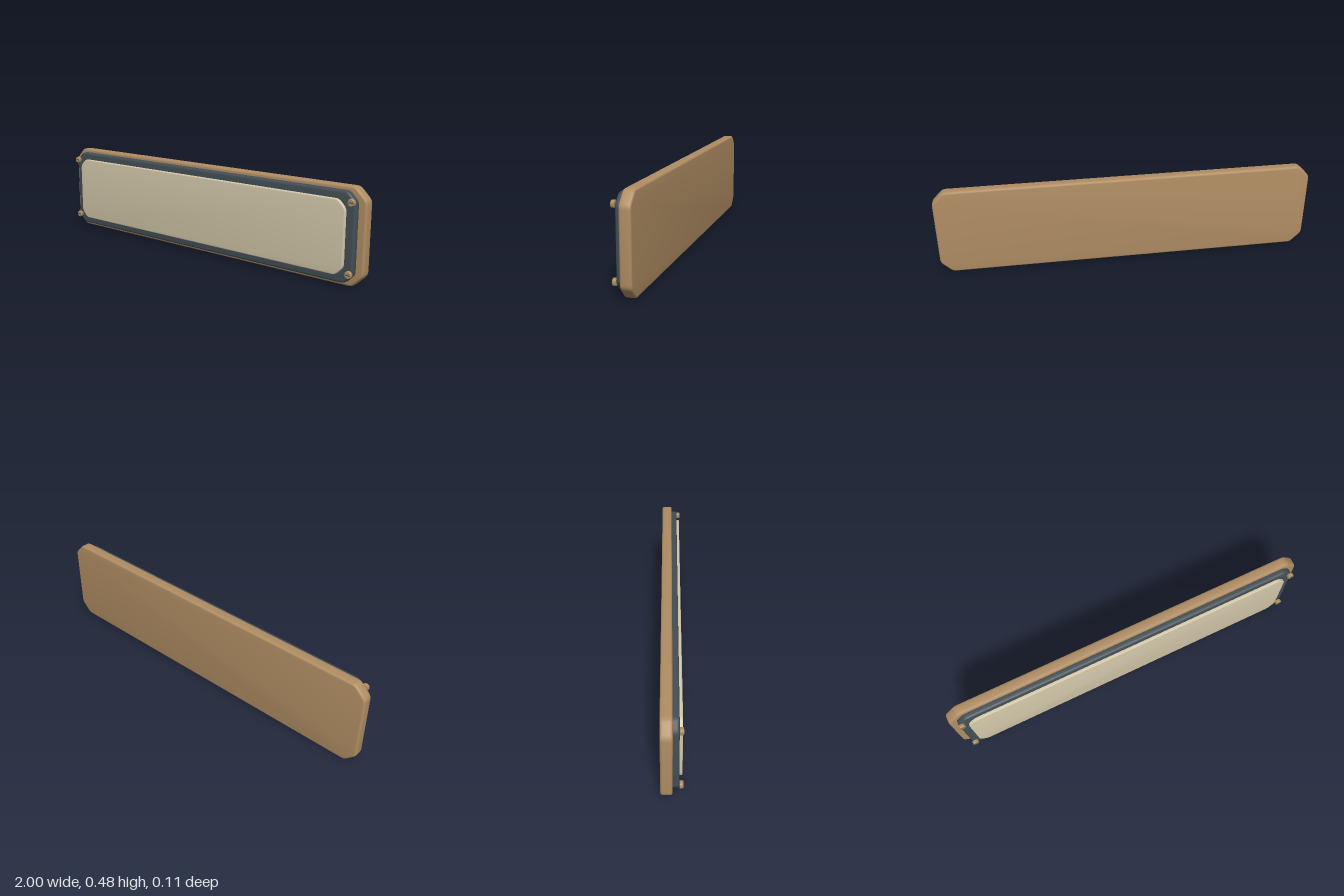
import * as THREE from 'three';
import { toCreasedNormals } from 'three/addons/utils/BufferGeometryUtils.js';

const MID_Y = 0.238;

// Rectangle with softened diagonal corners
function cutRectangle(hw, hh, cut, soft) {
  const s = new THREE.Shape();
  const pts = [
    [hw - cut, -hh], [hw, -hh + cut], [hw, hh - cut], [hw - cut, hh],
    [-hw + cut, hh], [-hw, hh - cut], [-hw, -hh + cut], [-hw + cut, -hh],
  ].map(([x, y]) => new THREE.Vector2(x, y));
  pts.forEach((p, i) => {
    const prev = pts[(i + 7) % 8], next = pts[(i + 1) % 8];
    const a = p.clone().add(prev.clone().sub(p).setLength(soft));
    const b = p.clone().add(next.clone().sub(p).setLength(soft));
    if (i === 0) s.moveTo(a.x, a.y);
    else s.lineTo(a.x, a.y);
    s.quadraticCurveTo(p.x, p.y, b.x, b.y);
  });
  s.closePath();
  return s;
}

// Upright plate with rounded rims, from z0 to z1
function plate(name, hw, hh, cut, z0, z1, bevel, material) {
  const geo = new THREE.ExtrudeGeometry(cutRectangle(hw, hh, cut, 0.018), {
    depth: z1 - z0 - 2 * bevel, curveSegments: 4,
    bevelEnabled: true, bevelThickness: bevel, bevelSize: bevel,
    bevelOffset: -bevel, bevelSegments: 4,
  });
  const mesh = new THREE.Mesh(toCreasedNormals(geo, 0.5), material);
  mesh.position.set(0, MID_Y, z0 + bevel);
  mesh.name = name;
  return mesh;
}

export function createModel() {
  const bronze = new THREE.MeshStandardMaterial({ color: 0xb08d63 });
  bronze.name = 'bronze';
  const slate = new THREE.MeshStandardMaterial({ color: 0x434f55 });
  slate.name = 'dark slate';
  const cream = new THREE.MeshStandardMaterial({ color: 0xd4c8aa });
  cream.name = 'cream';

  const group = new THREE.Group();
  group.name = 'plaque';

  // Stacked plates
  group.add(
    plate('backPlate', 1, 0.238, 0.06, -0.053, 0.003, 0.011, bronze),
    plate('darkFrame', 0.96, 0.219, 0.045, -0.01, 0.033, 0.011, slate),
    plate('facePanel', 0.915, 0.181, 0.04, 0.02, 0.048, 0.005, cream),
  );

  // Slotted screws at the four corners
  const profile = [[0, 0], [0.016, 0], [0.018, 0.002], [0.018, 0.015], [0.0155, 0.0185], [0, 0.0185]]
    .map(([r, h]) => new THREE.Vector2(r, h));
  const headGeo = toCreasedNormals(new THREE.LatheGeometry(profile, 24).rotateX(Math.PI / 2), 0.6);
  const slotGeo = new THREE.BoxGeometry(0.027, 0.004, 0.003);
  for (const x of [-0.944, 0.944]) {
    for (const y of [-0.17, 0.17]) {
      const screw = new THREE.Group();
      screw.name = 'screw';
      const head = new THREE.Mesh(headGeo, bronze);
      head.name = 'screwHead';
      const slot = new THREE.Mesh(slotGeo, slate);
      slot.name = 'screwSlot';
      slot.position.z = 0.0185;
      screw.add(head, slot);
      screw.position.set(x, MID_Y + 0.002 + y, 0.033);
      group.add(screw);
    }
  }
  return group;
}
